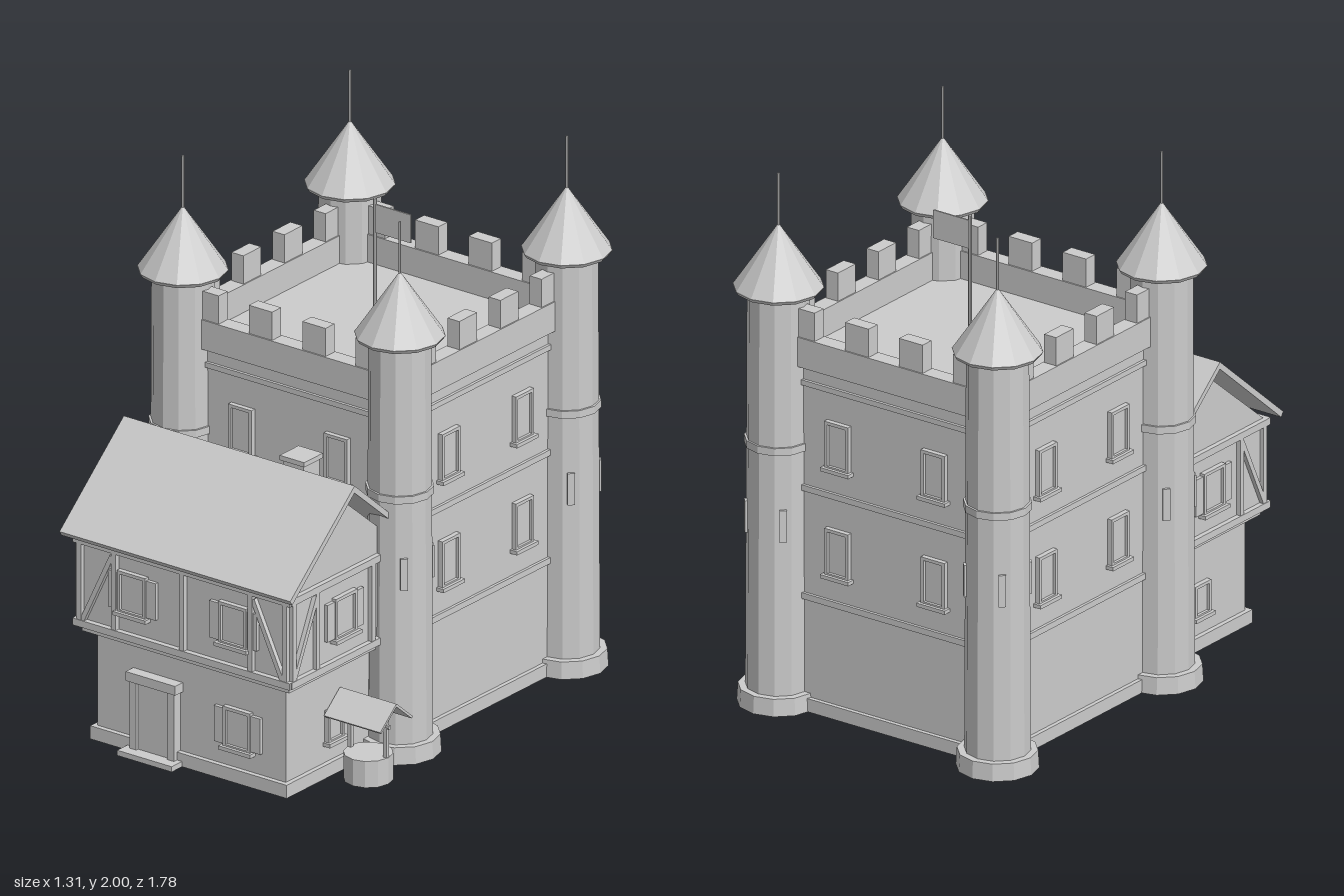
import * as THREE from 'three';

const CX = -0.02, CZ = -0.253; // keep centre
const stone = new THREE.MeshStandardMaterial({ color: 0xcccccc, flatShading: true });
stone.name = 'pale grey';

function add(parent, name, geo, x, y, z) {
  const m = new THREE.Mesh(geo, stone);
  m.name = name;
  m.position.set(x, y, z);
  parent.add(m);
  return m;
}
// box given by its size and the centre of its underside
const box = (p, name, w, h, d, x, y, z) => add(p, name, new THREE.BoxGeometry(w, h, d), x, y + h / 2, z);
// upright cylinder given by its underside
const cyl = (p, name, rt, rb, h, x, y, z, n = 12) => add(p, name, new THREE.CylinderGeometry(rt, rb, h, n), x, y + h / 2, z);

function group(parent, name, x, y, z, turn = 0) {
  const g = new THREE.Group();
  g.name = name;
  g.position.set(x, y, z);
  g.rotation.y = turn;
  parent.add(g);
  return g;
}

// framed window facing local +z, centred on its group
function addWindow(parent, x, y, z, turn, w, h, shutters) {
  const g = group(parent, 'window', x, y, z, turn);
  const t = 0.012;
  box(g, 'pane', w - t, h - t, 0.008, 0, -h / 2 + t / 2, 0.004);
  for (const s of [-1, 1]) {
    box(g, 'frameSide', t, h, 0.022, s * (w - t) / 2, -h / 2, 0.008);
    box(g, 'frameRail', w, t, 0.022, 0, s * (h - t) / 2 - t / 2, 0.008);
    if (shutters) box(g, 'shutter', 0.042, h - 0.02, 0.014, s * (w / 2 + 0.021), -h / 2 + 0.01, 0.007);
  }
  box(g, 'sill', w + 0.02, 0.014, 0.034, 0, -h / 2 - 0.008, 0.014);
}

function addTower(root, sx, sz) {
  const g = group(root, 'tower', CX + sx * 0.477, 0, CZ + sz * 0.477);
  cyl(g, 'towerBase', 0.143, 0.147, 0.065, 0, 0, 0);
  cyl(g, 'towerShaft', 0.111, 0.117, 1.5, 0, 0.065, 0);
  cyl(g, 'towerRing', 0.121, 0.121, 0.028, 0, 0.978, 0);
  cyl(g, 'roofRim', 0.161, 0.152, 0.014, 0, 1.562, 0);
  add(g, 'towerRoof', new THREE.ConeGeometry(0.16, 0.236, 12), 0, 1.694, 0);
  cyl(g, 'spire', 0.005, 0.005, 0.2, 0, 1.8, 0, 6);
  // arrow slits on the diagonals facing away from the keep
  for (const [dx, dz] of [[1, 1], [1, -1], [-1, 1]]) {
    const a = Math.atan2(dx * sx, dz * sz);
    const s = box(g, 'arrowSlit', 0.026, 0.12, 0.018, Math.sin(a) * 0.111, 0.65, Math.cos(a) * 0.111);
    s.rotation.y = a;
  }
}

function addKeep(root) {
  const keep = group(root, 'keep', CX, 0, CZ);
  const slab = (name, half, y0, y1) => box(keep, name, half * 2, y1 - y0, half * 2, 0, y0, 0);
  slab('keepWalls', 0.48, 0, 1.31);
  slab('plinth', 0.496, 0, 0.05);
  slab('stringCourse', 0.491, 0.42, 0.443);
  slab('stringCourse', 0.491, 0.83, 0.852);
  slab('stringCourse', 0.491, 1.23, 1.25);

  // four equal sides: parapet, merlons and windows
  for (let i = 0; i < 4; i++) {
    const side = group(keep, 'keepSide', 0, 0, 0, i * Math.PI / 2);
    box(side, 'parapet', 0.9, 0.112, 0.062, 0, 1.303, 0.475);
    for (let k = 0; k < 4; k++) box(side, 'merlon', 0.102, 0.107, 0.052, (k - 1.5) * 0.235, 1.415, 0.475);
    for (const s of [-1, 1]) for (const y of [0.627, 1.033]) {
      if (i === 0 && y < 1) continue;
      addWindow(side, s * 0.21, y, 0.48, 0, 0.103, 0.18, false);
    }
  }
  // flag and pole
  cyl(keep, 'flagPole', 0.007, 0.007, 0.495, 0, 1.305, 0, 8);
  box(keep, 'flag', 0.157, 0.107, 0.006, 0.08, 1.673, 0);

  for (const sx of [-1, 1]) for (const sz of [-1, 1]) addTower(root, sx, sz);
}

// diagonal timber between two points on a wall
function brace(g, x0, y0, x1, y1) {
  const b = add(g, 'brace', new THREE.BoxGeometry(0.018, Math.hypot(x1 - x0, y1 - y0), 0.02), (x0 + x1) / 2, (y0 + y1) / 2, 0.007);
  b.rotation.z = -Math.atan2(x1 - x0, y1 - y0);
}

function addHouse(root) {
  const house = group(root, 'house', CX, 0, 0);
  const back = 0.2;
  const block = (name, half, y0, y1, front) => box(house, name, half * 2, y1 - y0, front - back, 0, y0, (front + back) / 2);
  block('groundFloor', 0.414, 0, 0.42, 0.793);
  block('housePlinth', 0.432, 0, 0.05, 0.812);
  block('jettyBeam', 0.455, 0.41, 0.437, 0.828);
  block('upperFloor', 0.461, 0.437, 0.775, 0.833);

  // gable attic
  const tri = new THREE.Shape([new THREE.Vector2(-0.835, 0.775), new THREE.Vector2(-0.21, 0.775), new THREE.Vector2(-0.522, 1.035)]);
  const attic = add(house, 'gable', new THREE.ExtrudeGeometry(tri, { depth: 0.922, bevelEnabled: false }), -0.461, 0, 0);
  attic.rotation.y = Math.PI / 2;

  // thin roof bent over the ridge, local x = -z
  const pts = [[-0.89, 0.793], [-0.522, 1.107], [-0.2, 0.832], [-0.2, 0.808], [-0.522, 1.08], [-0.878, 0.775]];
  const roofShape = new THREE.Shape(pts.map(([x, y]) => new THREE.Vector2(x, y)));
  const roof = add(house, 'houseRoof', new THREE.ExtrudeGeometry(roofShape, { depth: 1.015, bevelEnabled: false }), -0.5075, 0, 0);
  roof.rotation.y = Math.PI / 2;

  // timber frame of the front
  const front = group(house, 'frontTimbers', 0, 0, 0.833);
  box(front, 'beam', 0.955, 0.026, 0.026, 0, 0.435, 0.008);
  box(front, 'beam', 0.955, 0.026, 0.026, 0, 0.75, 0.008);
  for (const x of [-0.452, -0.3, 0, 0.3, 0.452]) box(front, 'post', 0.02, 0.3, 0.022, x, 0.455, 0.008);
  for (const s of [-1, 1]) {
    brace(front, s * 0.44, 0.46, s * 0.31, 0.735);
    addWindow(house, s * 0.222, 0.612, 0.833, 0, 0.124, 0.16, true);
  }

  // timber frame, windows of the two ends
  for (const s of [-1, 1]) {
    const end = group(house, 'endTimbers', s * 0.461, 0, 0.53, s * Math.PI / 2);
    box(end, 'beam', 0.63, 0.026, 0.026, 0, 0.435, 0.006);
    box(end, 'beam', 0.63, 0.026, 0.026, 0, 0.75, 0.006);
    for (const x of [-0.305, -0.155, 0.16, 0.295]) box(end, 'post', 0.02, 0.3, 0.022, s * -x, 0.455, 0.006);
    brace(end, s * -0.295, 0.46, s * -0.165, 0.735);
    addWindow(end, 0, 0.612, 0, 0, 0.124, 0.16, true);
    addWindow(house, s * 0.414, 0.185, 0.525, s * Math.PI / 2, 0.092, 0.125, false);
  }

  // door and ground floor window
  const door = group(house, 'doorway', -0.148, 0, 0.793);
  box(door, 'door', 0.15, 0.28, 0.012, 0, 0, 0.02);
  for (const s of [-1, 1]) box(door, 'doorPost', 0.03, 0.28, 0.05, s * 0.083, 0, 0.012);
  box(door, 'lintel', 0.218, 0.035, 0.064, 0, 0.275, 0.012);
  box(door, 'doorstep', 0.24, 0.02, 0.09, 0, 0, 0.033);
  addWindow(house, 0.21, 0.2, 0.793, 0, 0.12, 0.155, true);

  // chimney
  box(house, 'chimney', 0.09, 0.25, 0.09, 0.218, 0.87, 0.45);
  box(house, 'chimneyCap', 0.108, 0.018, 0.108, 0.218, 1.109, 0.45);
}

function addWell(root) {
  const well = group(root, 'well', 0.527, 0, 0.495);
  cyl(well, 'wellWall', 0.088, 0.088, 0.1, 0, 0, 0);
  for (const s of [-1, 1]) {
    box(well, 'wellPost', 0.014, 0.2, 0.014, s * 0.078, 0.06, 0);
    const slope = box(well, 'wellRoof', 0.248, 0.009, 0.118, 0, 0.266, s * 0.045);
    slope.rotation.x = s * 0.7;
  }
  const axle = add(well, 'axle', new THREE.CylinderGeometry(0.008, 0.008, 0.19, 8), 0, 0.216, 0);
  axle.rotation.z = Math.PI / 2;
}

export function createModel() {
  const root = new THREE.Group();
  root.name = 'castle';
  addKeep(root);
  addHouse(root);
  addWell(root);
  return root;
}
